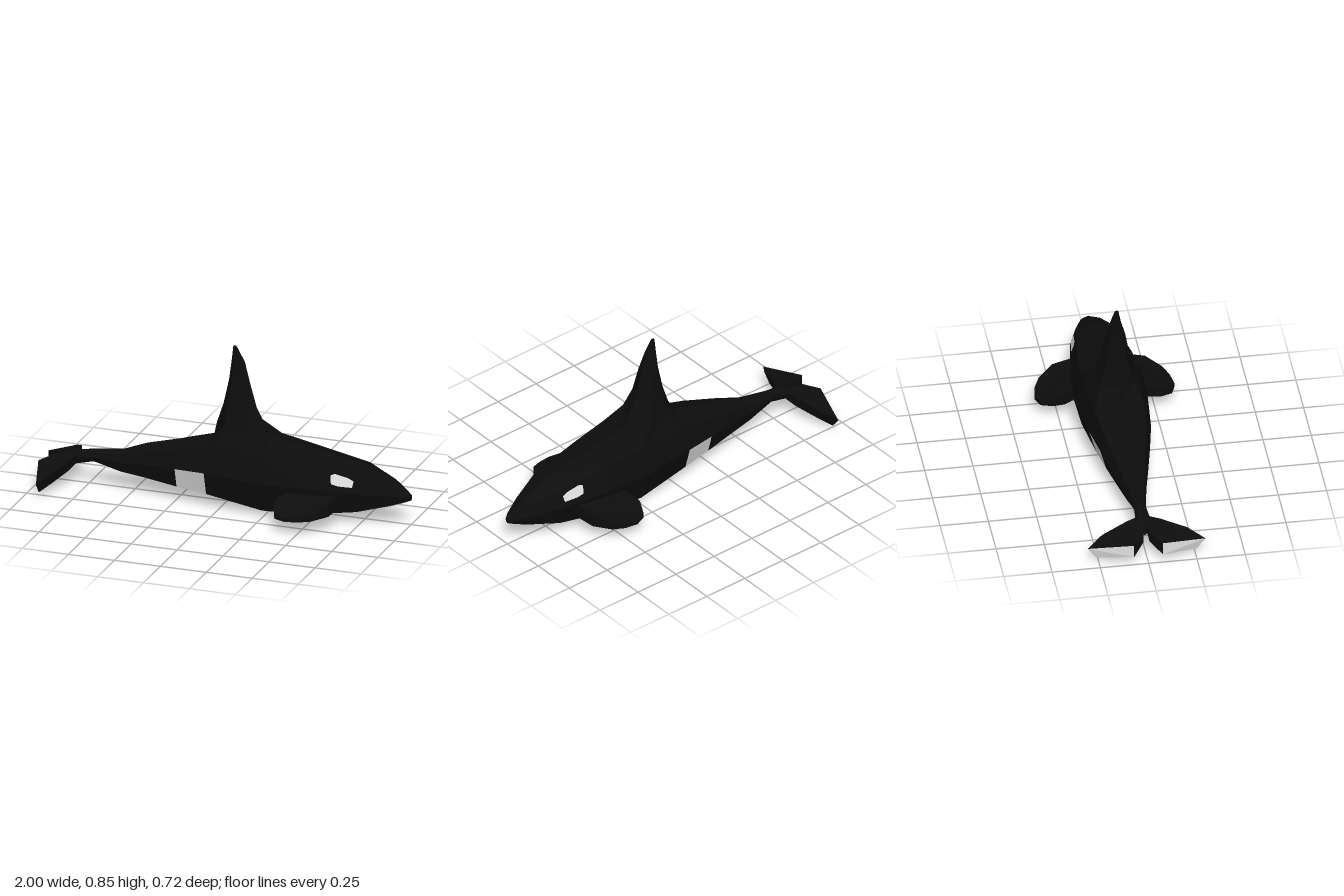
import * as THREE from 'three';

const black = new THREE.MeshStandardMaterial({ color: 0x0d0d0d });
black.name = 'black skin';
const white = new THREE.MeshStandardMaterial({ color: 0xe2e2e2 });
white.name = 'white skin';

// Flat-shaded geometry from a plain list of triangle corners
function facets(points) {
  const geo = new THREE.BufferGeometry();
  geo.setAttribute('position', new THREE.Float32BufferAttribute(points.flat(), 3));
  geo.computeVertexNormals();
  return geo;
}

function fan(ring) {
  const out = [];
  for (let i = 1; i < ring.length - 1; i++) out.push(ring[0], ring[i], ring[i + 1]);
  return out;
}

// Closed loft through rings with both ends capped; pick(i, j) names the part of
// each face, with i = 'start' or 'end' for the caps
function loft(rings, pick) {
  const parts = {};
  const add = (name, pts) => (parts[name] ??= []).push(...pts);
  const n = rings[0].length;
  for (let i = 0; i < rings.length - 1; i++) {
    for (let j = 0; j < n; j++) {
      const k = (j + 1) % n;
      const a = rings[i][j], b = rings[i][k], c = rings[i + 1][k], d = rings[i + 1][j];
      add(pick(i, j), [a, b, c, a, c, d]);
    }
  }
  add(pick('start', 0), fan([...rings[0]].reverse()));
  add(pick('end', 0), fan(rings.at(-1)));
  return parts;
}

// Mirror triangles to the other side, keeping them facing outward
function mirror(points) {
  const m = points.map(([x, y, z]) => [x, y, -z]);
  for (let i = 0; i < m.length; i += 3) [m[i + 1], m[i + 2]] = [m[i + 2], m[i + 1]];
  return m;
}

// Body stations, tail to nose: x, top y, shoulder y z, flank y z, chine y z, keel y
const STATIONS = [
  [-0.87, 0.145, 0.14, 0.015, 0.12, 0.02, 0.1, 0.015, 0.09],
  [-0.82, 0.175, 0.165, 0.028, 0.145, 0.04, 0.115, 0.028, 0.1],
  [-0.72, 0.195, 0.18, 0.02, 0.16, 0.03, 0.132, 0.02, 0.125],
  [-0.56, 0.215, 0.195, 0.045, 0.155, 0.058, 0.104, 0.045, 0.1],
  [-0.43, 0.265, 0.235, 0.07, 0.175, 0.088, 0.1, 0.07, 0.09],
  [-0.24, 0.315, 0.285, 0.105, 0.19, 0.128, 0.085, 0.1, 0.06],
  [-0.07, 0.365, 0.32, 0.13, 0.2, 0.16, 0.075, 0.125, 0.04],
  [0.24, 0.385, 0.35, 0.155, 0.19, 0.19, 0.035, 0.15, 0.003],
  [0.45, 0.352, 0.315, 0.14, 0.19, 0.175, 0.035, 0.138, 0.003],
  [0.74, 0.305, 0.275, 0.1, 0.18, 0.13, 0.075, 0.105, 0.05],
  [0.9, 0.235, 0.22, 0.05, 0.17, 0.075, 0.112, 0.058, 0.092],
  [0.97, 0.19, 0.18, 0.025, 0.158, 0.04, 0.13, 0.03, 0.12],
  [1, 0.165, 0.16, 0.01, 0.15, 0.015, 0.138, 0.01, 0.133],
];

function bodyRing([x, top, uy, uz, my, mz, cy, cz, keel]) {
  return [[x, top, 0], [x, uy, uz], [x, my, mz], [x, cy, cz], [x, keel, 0],
    [x, cy, -cz], [x, my, -mz], [x, uy, -uz]];
}

// Half width of the upper flank at a given x and y
function flankZ(x, y) {
  const i = STATIONS.findIndex((s) => s[0] >= x);
  const a = STATIONS[i - 1], b = STATIONS[i], t = (x - a[0]) / (b[0] - a[0]);
  const [, , uy, uz, my, mz] = a.map((v, k) => v + (b[k] - v) * t);
  return mz + (uz - mz) * (y - my) / (uy - my);
}

export function createModel() {
  const group = new THREE.Group();
  const put = (name, points, material) => {
    const mesh = new THREE.Mesh(facets(points), material);
    mesh.name = name;
    group.add(mesh);
  };
  const pair = (name, points, material) => {
    put('left' + name, mirror(points), material);
    put('right' + name, points, material);
  };

  // Body with pale belly and a pale patch on each flank
  const body = loft(STATIONS.map(bodyRing), (i, j) => {
    if (i >= 3 && (j === 3 || j === 4)) return 'belly';
    if (i === 5 && (j === 2 || j === 5)) return 'flankPatches';
    return 'body';
  });
  for (const name in body) put(name, body[name], name === 'body' ? black : white);

  // Dorsal fin: y, back x, front x, half width
  const finRings = [[0.43, -0.055, 0.215, 0.113], [0.535, -0.02, 0.16, 0.078],
    [0.67, 0.01, 0.122, 0.053], [0.775, 0.024, 0.096, 0.025], [0.855, 0.033, 0.05, 0.009],
  ].map(([y, b, f, w]) => {
    const p = f - (f - b) * 0.25, q = b + (f - b) * 0.25;
    return [[f, y, 0], [p, y, -w], [q, y, -w * 0.75], [b, y, 0], [q, y, w * 0.75], [p, y, w]];
  });
  const finBase = [[0.24, 0.385, 0], [0.24, 0.35, -0.155], [-0.07, 0.32, -0.13],
    [-0.07, 0.365, 0], [-0.07, 0.32, 0.13], [0.24, 0.35, 0.155]];
  put('dorsalFin', loft([finBase, ...finRings], () => 'fin').fin, black);

  // Rounded pectoral fins, thick at the root and thin at the tip
  const paddle = [[0.65, 0.14], [0.4, 0.14], [0.355, 0.22], [0.355, 0.28], [0.38, 0.34],
    [0.44, 0.362], [0.51, 0.35], [0.57, 0.32], [0.635, 0.24]];
  const paddleTop = (z) => z < 0.27 ? 0.16 - (z - 0.14) * 0.15 : 0.14 - (z - 0.27) * 0.5;
  const pectoral = loft([
    paddle.map(([x, z]) => [x, 0.09 - (z - 0.14) * 0.07, z]),
    paddle.map(([x, z]) => [x, paddleTop(z), z]),
  ], () => 'fin').fin;
  pair('PectoralFin', pectoral, black);

  // Tail flukes: dark above and along the leading edge, pale below and behind
  const flukeTop = [[-0.8, 0.165, 0.01], [-0.93, 0.145, 0.015], [-1, 0.12, 0.075],
    [-0.93, 0.078, 0.305], [-0.87, 0.115, 0.22], [-0.82, 0.15, 0.085]];
  const flukeBottom = [[-0.8, 0.125, 0.01], [-0.93, 0.09, 0.015], [-1, 0.05, 0.075],
    [-0.93, 0.02, 0.26], [-0.88, 0.055, 0.19], [-0.83, 0.09, 0.08]];
  const fluke = loft([flukeBottom, flukeTop],
    (i, j) => i === 'start' || (i === 0 && j === 2) ? 'under' : 'upper');
  pair('Fluke', fluke.upper, black);
  pair('FlukeUnderside', fluke.under, white);

  // Eye patches lying just above the skin
  const patch = [[0.615, 0.225], [0.65, 0.216], [0.725, 0.213], [0.73, 0.245],
    [0.7, 0.26], [0.63, 0.277], [0.61, 0.268]];
  pair('EyePatch', fan(patch.map(([x, y]) => [x, y, flankZ(x, y) + 0.006])), white);

  return group;
}
